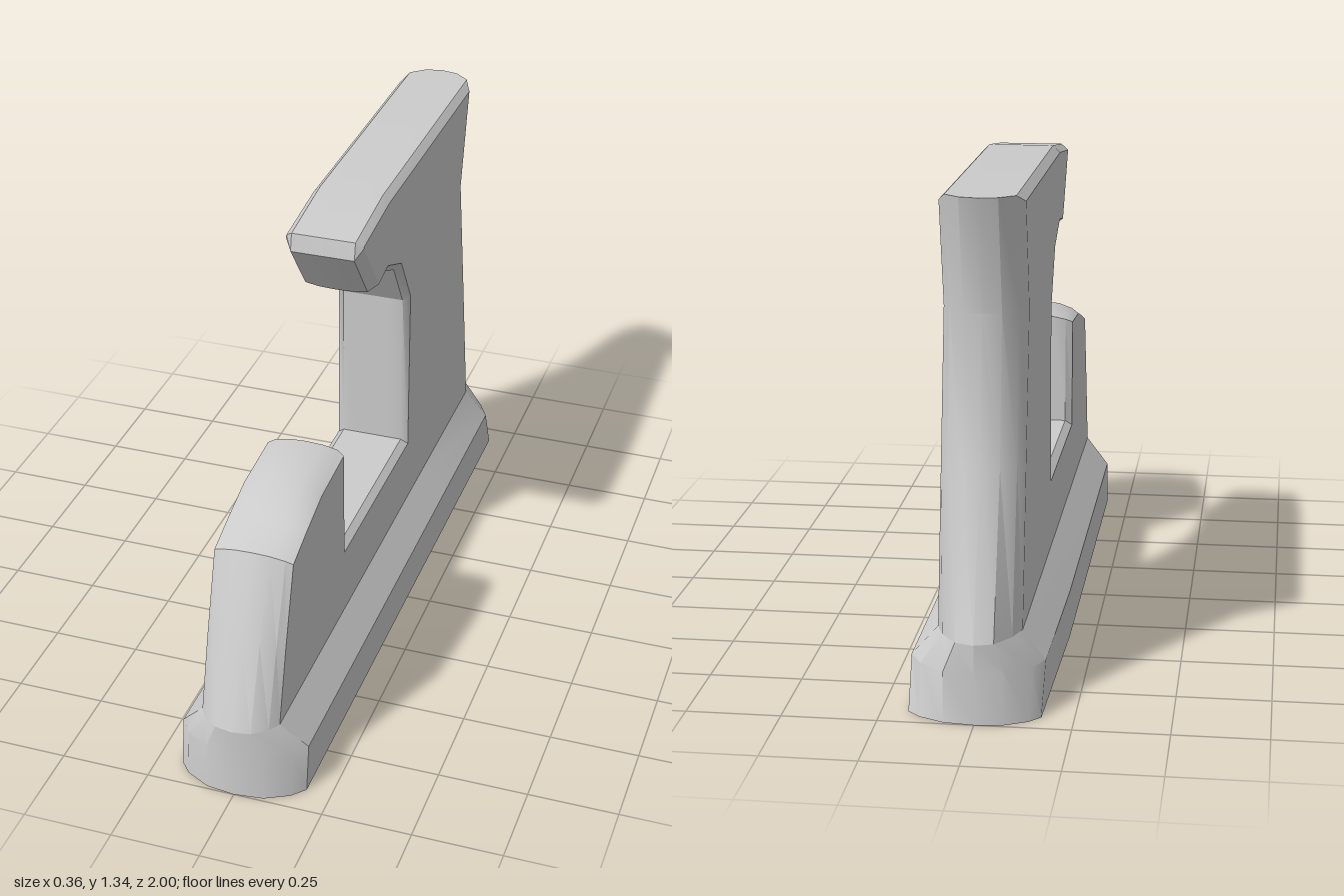
import * as THREE from 'three';
import { toCreasedNormals } from 'three/addons/utils/BufferGeometryUtils.js';

const material = new THREE.MeshStandardMaterial({ color: 0xcccccc, side: THREE.DoubleSide });

// Stations across the thickness: fraction of half width, blend for a chamfer, blend for a round edge
const half = [[1, 0, 0], [0.82, 1, 0.45], [0.45, 1, 0.88], [0, 1, 1]];
const stations = [...half, ...half.slice(0, 3).reverse().map(([f, c, r]) => [-f, c, r])];
const HALF_WIDTH = 0.11;
const lerp = THREE.MathUtils.lerp;

// Outline from front foot over the notch to rear foot:
// [side z, side y, middle z, middle y, round in z, round in y]
const outline = [
  [0.93, 0.215, 1.0, 0.215, 1, 1],
  [0.875, 0.42, 0.91, 0.45, 1, 1],
  [0.805, 0.65, 0.815, 0.67, 1, 1],
  [0.70, 0.685, 0.70, 0.70, 1, 1],
  [0.58, 0.72, 0.58, 0.755, 1, 1],
  [0.395, 0.735, 0.385, 0.755, 0, 1],
  [0.39, 0.41, 0.375, 0.427, 0, 0],
  [-0.21, 0.41, -0.2, 0.427, 0, 0],
  [-0.215, 0.915, -0.2, 0.905, 0, 0],
  [-0.12, 1.07, -0.11, 1.05, 0, 0],
  [0.005, 1.125, 0.01, 1.105, 0, 0],
  [0.09, 1.11, 0.13, 1.095, 0, 1],
  [0.225, 1.285, 0.245, 1.255, 0, 0],
  [0.22, 1.29, 0.235, 1.305, 0, 0],
  [0, 1.315, 0, 1.335, 0, 0],
  [-0.80, 1.315, -0.885, 1.335, 1, 0],
  [-0.73, 1.03, -0.815, 1.03, 1, 1],
  [-0.80, 0.63, -0.86, 0.64, 1, 1],
  [-0.87, 0.215, -1.0, 0.215, 1, 1],
];

// Joins rows of points into a surface
function skin(rows) {
  const n = rows[0].length;
  const index = [];
  for (let i = 0; i < rows.length - 1; i++) {
    for (let j = 0; j < n - 1; j++) {
      const a = i * n + j, b = a + n;
      index.push(a, b, b + 1, a, b + 1, a + 1);
    }
  }
  const g = new THREE.BufferGeometry();
  g.setAttribute('position', new THREE.Float32BufferAttribute(rows.flat(2), 3));
  g.setIndex(index);
  return toCreasedNormals(g, 0.5);
}

function add(group, name, geometry) {
  const mesh = new THREE.Mesh(geometry, material);
  mesh.name = name;
  group.add(mesh);
}

// One level of the foot: rounded front, straight sides, rounded back
function footRing(y, w, frontZ, backZ, leanIn) {
  const front = stations.map(([f, , r]) => [f * w, y, lerp(frontZ, 1, r)]);
  const back = stations.map(([f, , r]) => [f < 0 ? f * (w - leanIn) : f * w, y, lerp(backZ, -1, r)]).reverse();
  return [...front, [-w, y, -0.35], ...back, [w, y, -0.35], front[0]];
}

export function createModel() {
  const model = new THREE.Group();
  model.name = 'hookedBlock';

  // Rim around the outline, chamfered or rounded point by point
  const rim = outline.map(([sz, sy, mz, my, roundZ, roundY]) =>
    stations.map(([f, c, r]) => [
      f * HALF_WIDTH,
      lerp(sy, my, roundY ? r : c),
      lerp(sz, mz, roundZ ? r : c),
    ]));
  add(model, 'rim', skin(rim));

  // Flat side plates
  for (const side of [1, -1]) {
    const shape = new THREE.Shape(outline.map(([z, y]) => new THREE.Vector2(-side * z, y)));
    const plate = new THREE.ShapeGeometry(shape);
    plate.rotateY(side * Math.PI / 2);
    plate.translate(side * HALF_WIDTH, 0, 0);
    add(model, side > 0 ? 'leftPlate' : 'rightPlate', plate);
  }

  // Wider hollow foot, open underneath
  add(model, 'foot', skin([
    footRing(0, 0.18, 0.92, -0.93, 0.015),
    footRing(0.135, 0.18, 0.9, -0.87, 0.01),
    footRing(0.215, HALF_WIDTH, 0.93, -0.87, 0),
  ]));

  return model;
}
